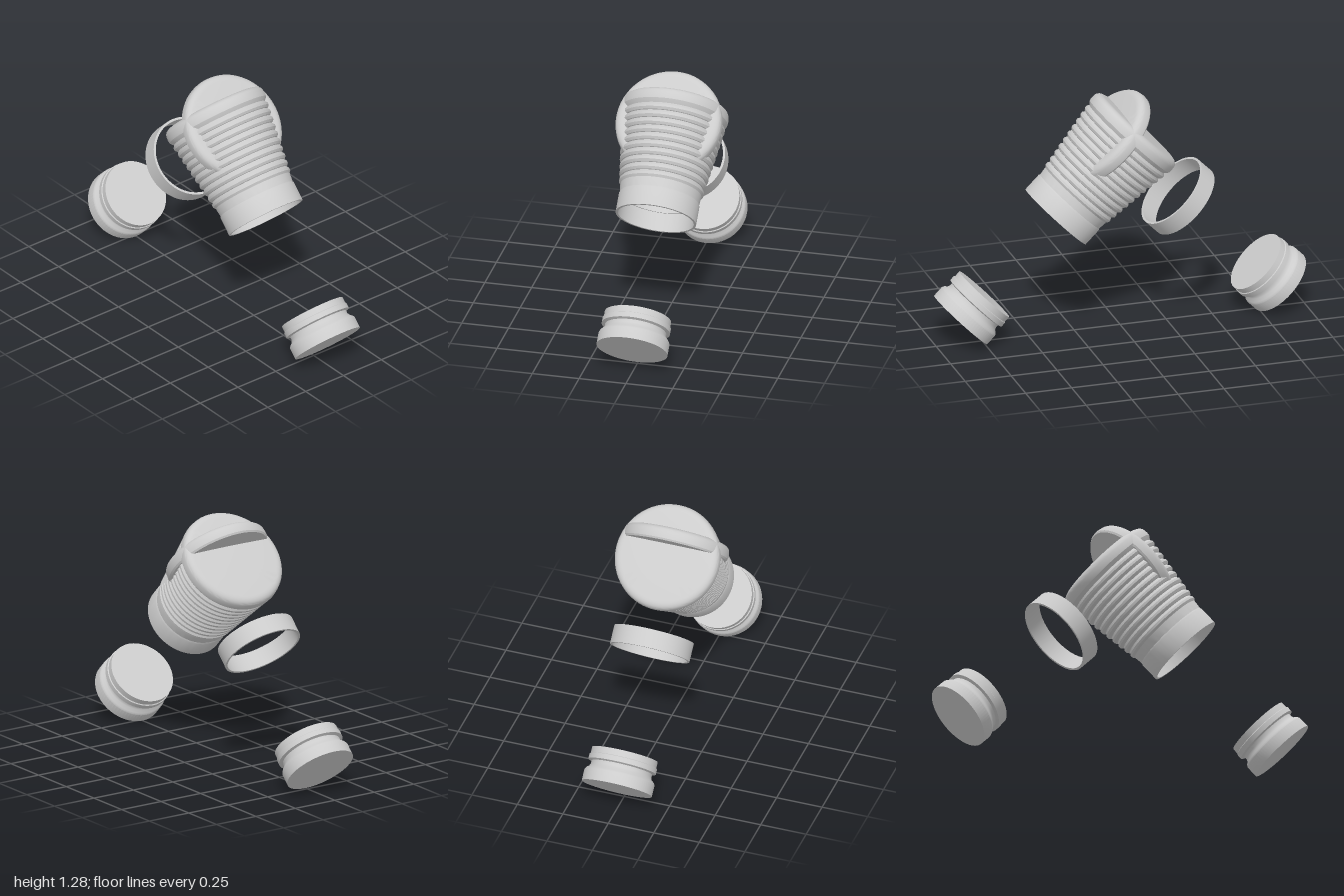
import * as THREE from 'three';
import { toCreasedNormals } from 'three/addons/utils/BufferGeometryUtils.js';

export function createModel() {
  const root = new THREE.Group();
  const grey = new THREE.MeshStandardMaterial({ color: 0xcccccc });

  // Turned part from [radius, height] pairs
  const turned = (name, profile) => {
    const points = profile.map(([r, y]) => new THREE.Vector2(r, y));
    const geometry = toCreasedNormals(new THREE.LatheGeometry(points, 72), 0.5);
    const mesh = new THREE.Mesh(geometry, grey);
    mesh.name = name;
    return mesh;
  };

  // Group tilted 45 degrees about z; lean +1 tips its top toward -x
  const tilted = (name, x, y, lean, ...parts) => {
    const group = new THREE.Group();
    group.name = name;
    group.position.set(x, y, 0);
    group.rotation.z = lean * Math.PI / 4;
    group.add(...parts);
    root.add(group);
  };

  // Rounded shoulder of the closed end, shared by both arms
  const shoulder = [[0.272, 0.559], [0.279, 0.568], [0.281, 0.585], [0.279, 0.602]];
  for (let i = 1; i <= 6; i++) {
    const a = i / 6 * Math.PI / 2;
    shoulder.push([0.237 + 0.042 * Math.cos(a), 0.602 + 0.033 * Math.sin(a)]);
  }
  shoulder.push([0.15, 0.638], [0.07, 0.64], [0, 0.64]);

  // Ribbed wall, flaring from the collar to the shoulder
  const ridges = 10, start = 0.155, pitch = 0.0395;
  const wall = (inset) => {
    const points = [];
    for (let i = 0; i < ridges; i++) {
      const y = start + i * pitch;
      const r = 0.221 + 0.049 * i / (ridges - 1) - inset;
      points.push([r - 0.008, y], [r + 0.002, y + pitch * 0.3],
        [r + 0.002, y + pitch * 0.6], [r - 0.008, y + pitch * 0.95]);
    }
    return points;
  };
  const collar = [[0.212, 0], [0.212, 0.1], [0.208, 0.108], [0.213, 0.15]];
  const inner = [[0.2, 0], [0.2, 0.1], [0.194, 0.1], [0.2, 0.15], ...wall(0.013), [0.25, 0.6], [0, 0.6]];
  const body = turned('ribbedCup', [...inner.reverse(), ...collar, ...wall(0), ...shoulder]);
  tilted('cupArm', 0.35, 0.65, 1, body);

  // Opposite arm: only its end disc and its collar ring
  const disc = turned('crossingDisc', [[0, 0.559], ...shoulder]);
  const ring = turned('collarRing',
    [[0.2, 0.098], [0.2, 0], [0.212, 0], [0.212, 0.098], [0.2, 0.098]]);
  tilted('oppositeArm', -0.35, 0.65, -1, disc, ring);

  // Grooved plugs facing the two arms
  const plugProfile = [[0, 0], [0.187, 0], [0.187, 0.06], [0.181, 0.071], [0.167, 0.083],
    [0.161, 0.097], [0.162, 0.112], [0.18, 0.118], [0.18, 0.145], [0.175, 0.148],
    [0.175, 0.182], [0, 0.182]];
  for (const side of [-1, 1]) {
    tilted(side < 0 ? 'rightPlug' : 'leftPlug', side * 0.867, 0.135, side,
      turned('plugBody', plugProfile));
  }
  return root;
}
